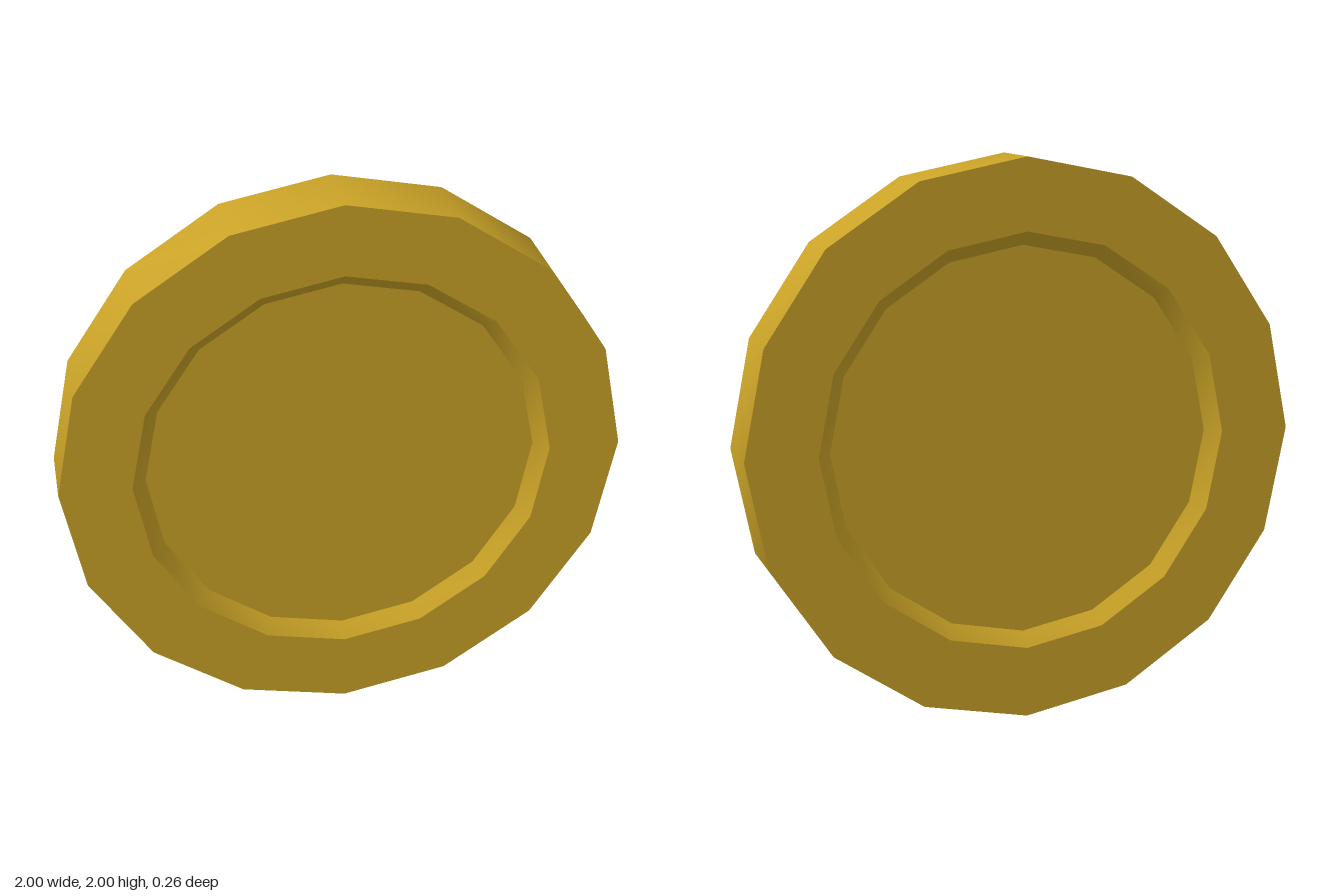
import * as THREE from 'three';
import { toCreasedNormals } from 'three/addons/utils/BufferGeometryUtils.js';

const SIDES = 16;
const HALF = 0.13;    // half thickness
const FLOOR = 0.08;   // height of the recessed face above the mid plane

export function createModel() {
  const group = new THREE.Group();
  group.name = 'coin';
  const gold = new THREE.MeshStandardMaterial({ color: 0xc9a227 });

  // One half of the profile: recessed face, sloped wall, flat rim, outer edge
  const half = [[0, FLOOR], [0.695, FLOOR], [0.745, HALF], [1, HALF]];
  const profile = [
    ...half.map(([r, h]) => new THREE.Vector2(r, -h)),
    ...half.slice().reverse().map(([r, h]) => new THREE.Vector2(r, h)),
  ];

  // Round edges stay smooth while the rim and recess borders stay sharp
  const lathe = new THREE.LatheGeometry(profile, SIDES);
  lathe.rotateX(Math.PI / 2);
  const coin = new THREE.Mesh(toCreasedNormals(lathe, Math.PI / 6), gold);
  coin.name = 'coinBody';
  coin.position.y = 1;
  group.add(coin);
  return group;
}
